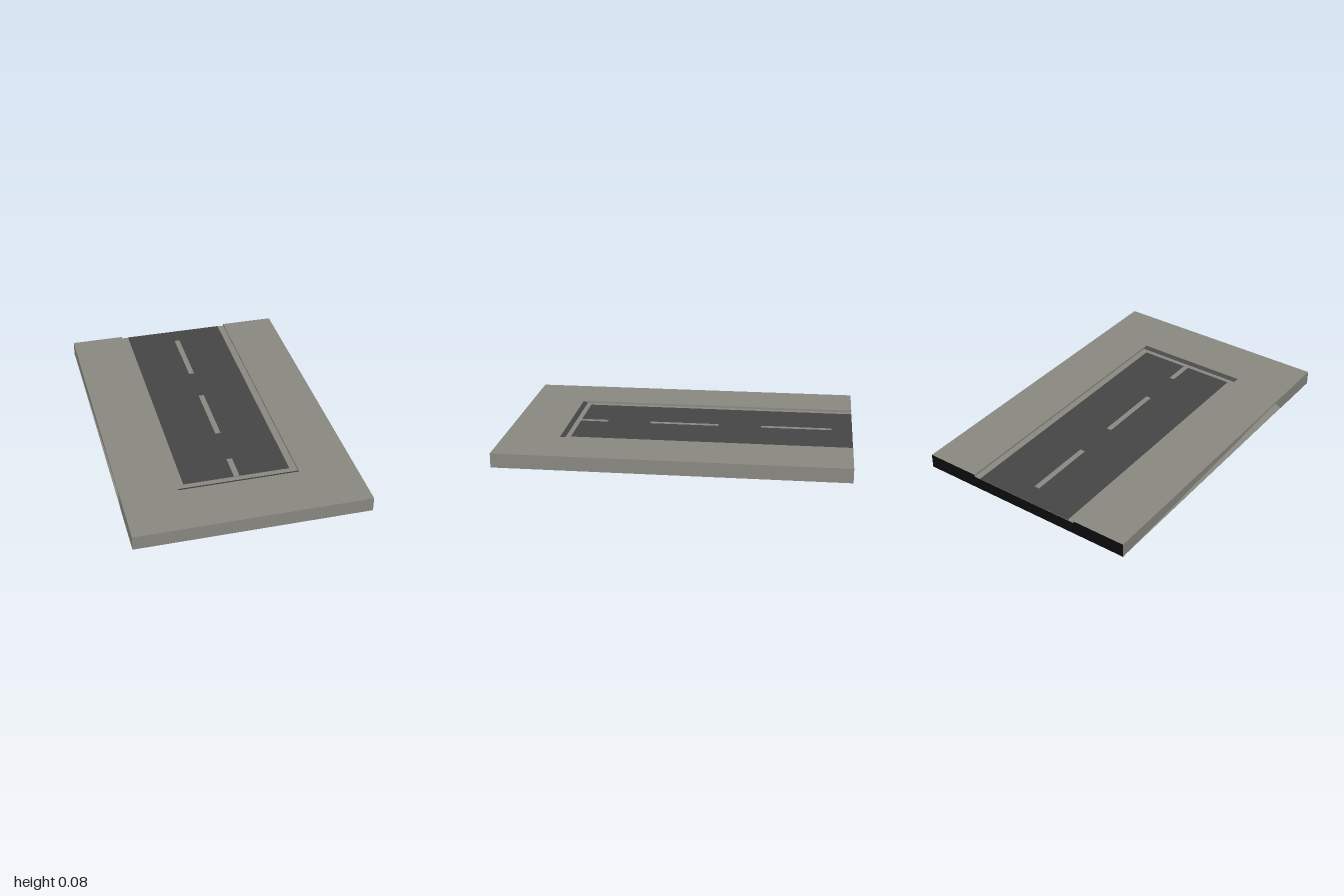
import * as THREE from 'three';

const W = 0.665, H = 0.083;              // half width and height of the slab
const RX = 0.345, RZ = 0.675;            // recess half width and front end
const FLOOR = H - 0.012;                 // level of the recess floor
const ROAD_X = 0.305, ROAD_Z = 0.62;

const mat = (name, color) => {
  const m = new THREE.MeshStandardMaterial({ color, side: THREE.DoubleSide });
  m.name = name;
  return m;
};

const shape = (pts) => new THREE.Shape(pts.map(([a, b]) => new THREE.Vector2(a, b)));
const rect = (x0, x1, z0, z1) => [[x0, -z1], [x1, -z1], [x1, -z0], [x0, -z0]];

export function createModel() {
  const concrete = mat('concreteGrey', 0x888780);
  const asphalt = mat('asphaltGrey', 0x454545);
  const black = mat('endBlack', 0x0b0b0b);
  const group = new THREE.Group();
  group.name = 'roadSlab';

  const add = (name, geometry, material) => {
    const m = new THREE.Mesh(geometry, material);
    m.name = name;
    group.add(m);
    return m;
  };

  // Horizontal sheet from (x, -z) points, facing up or down
  const sheet = (name, pts, y, material, holes = [], down = false) => {
    const s = shape(pts);
    holes.forEach((h) => s.holes.push(shape(h)));
    const g = new THREE.ShapeGeometry(s).rotateX(-Math.PI / 2);
    if (down) g.scale(1, 1, -1).rotateX(Math.PI);
    g.translate(0, y, 0);
    return add(name, g, material);
  };

  // Upright or sloping four-cornered face
  const quad = (name, a, b, c, d, material) => {
    const g = new THREE.BufferGeometry();
    g.setAttribute('position', new THREE.Float32BufferAttribute([...a, ...b, ...c, ...d], 3));
    g.setIndex([0, 1, 2, 0, 2, 3]);
    g.computeVertexNormals();
    return add(name, g, material);
  };

  // Raised pavement around three sides of the recess
  sheet('pavement', [[-W, -1], [W, -1], [W, 1], [RX, 1], [RX, -RZ], [-RX, -RZ], [-RX, 1], [-W, 1]], H, concrete);

  // Recess floor and underside, each with two small slots
  const slots = [-1, 1].map((s) => rect(s * 0.339 - 0.005, s * 0.339 + 0.005, 0.58, 0.62));
  sheet('recessFloor', rect(-RX, RX, -1, 0.65), FLOOR, concrete, slots);
  sheet('underside', rect(-W, W, -1, 1), 0.002, concrete, slots, true);

  // Recess edges and the dark sloping end
  for (const s of [-1, 1]) {
    const x = s * RX, a = s > 0 ? RZ : -1, b = s > 0 ? -1 : RZ;
    quad('kerb', [x, FLOOR, a], [x, H, a], [x, H, b], [x, FLOOR, b], concrete);
  }
  quad('recessEnd', [-RX, FLOOR, 0.65], [-RX, H, RZ], [RX, H, RZ], [RX, FLOOR, 0.65], asphalt);

  // Road with dashed centre line, on the top and repeated on the underside
  const dashes = [[-0.88, -0.465], [-0.21, 0.2], [0.455, ROAD_Z]];
  for (const down of [false, true]) {
    const y = down ? 0 : FLOOR + 0.002;
    const side = down ? 'Below' : 'Above';
    sheet('road' + side, rect(-ROAD_X, ROAD_X, -1, ROAD_Z), y, asphalt, [], down);
    dashes.forEach(([z0, z1]) =>
      sheet('dash' + side, rect(-0.016, 0.016, z0, z1), down ? -0.0015 : y + 0.0015, concrete, [], down));
  }

  // Outer walls
  quad('frontWall', [-W, 0, 1], [W, 0, 1], [W, H, 1], [-W, H, 1], concrete);
  quad('wallPlusX', [W, 0, 1], [W, 0, -1], [W, H, -1], [W, H, 1], concrete);

  // Wall with a wedge-shaped opening along its foot
  const wedge = shape([[-1, 0], [0.58, 0.077], [0.66, 0], [1, 0], [1, H], [-1, H]]);
  add('wallMinusX', new THREE.ShapeGeometry(wedge).rotateY(-Math.PI / 2).translate(-W, 0, 0), concrete);

  // Black back wall, lowered where the road runs out
  const back = shape([[-W, 0], [W, 0], [W, H], [RX, H], [RX, FLOOR], [-RX, FLOOR], [-RX, H], [-W, H]]);
  add('backWall', new THREE.ShapeGeometry(back).rotateY(Math.PI).translate(0, 0, -1), black);

  return group;
}
